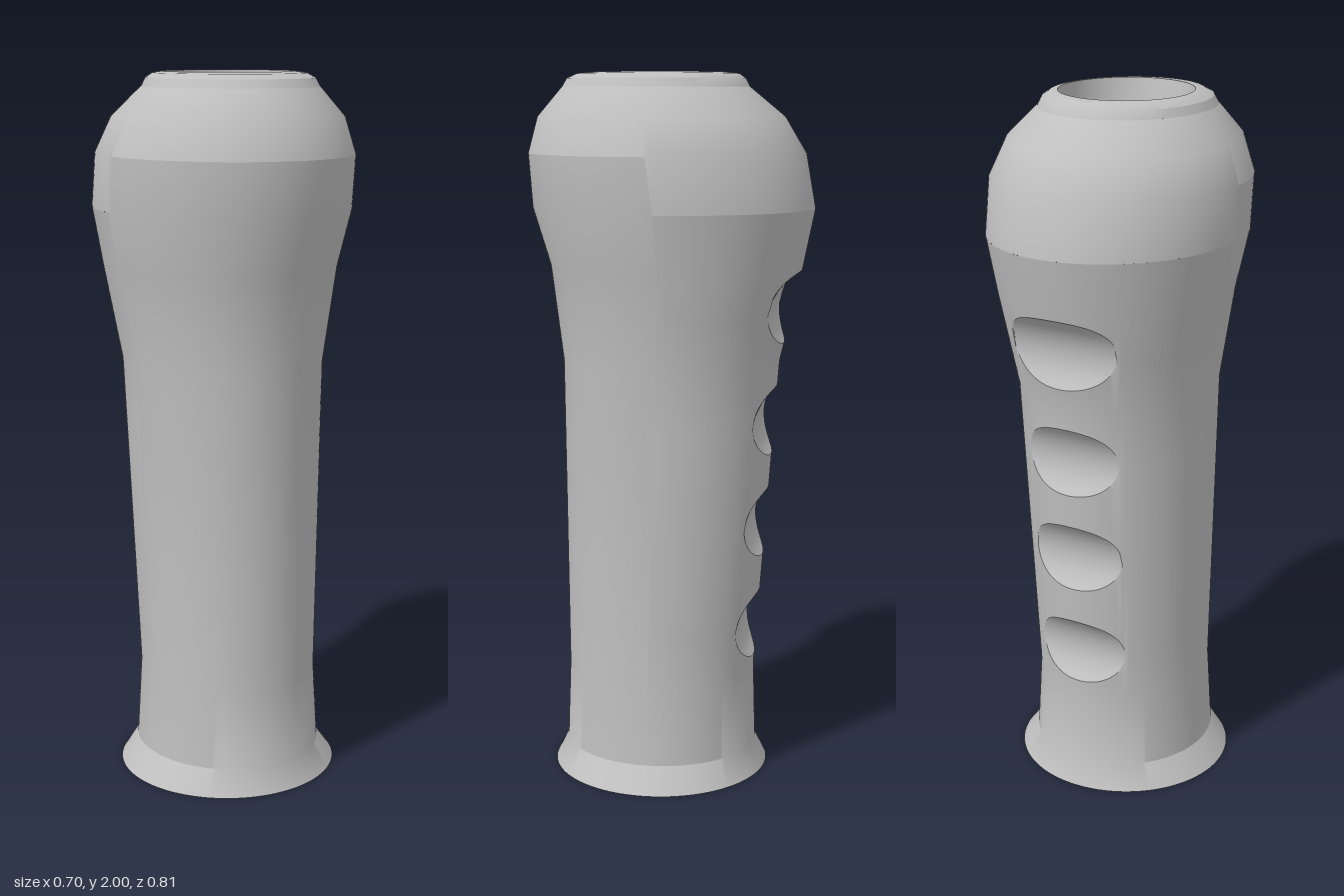
import * as THREE from 'three';
import { toCreasedNormals } from 'three/addons/utils/BufferGeometryUtils.js';

// Oval sections of the grip: height, half width, front z, back z
const PROFILE = [
  [0, 0.315, 0.345, -0.28], [0.07, 0.262, 0.31, -0.247], [0.3, 0.247, 0.302, -0.241],
  [1.2, 0.275, 0.31, -0.307], [1.47, 0.32, 0.343, -0.37], [1.63, 0.35, 0.392, -0.402],
  [1.78, 0.35, 0.403, -0.375], [1.88, 0.312, 0.376, -0.315], [1.96, 0.238, 0.308, -0.217],
];
// Finger grooves: height and z of the cutting cylinders' axes
const GROOVE_R = 0.134;
const GROOVES = [[0.425, -0.34], [0.73, -0.362], [1.027, -0.384], [1.338, -0.424]];

// Point on an oval section at angle t
function ovalPoint([y, a, f, b], t) {
  return new THREE.Vector3(a * Math.cos(t), y, (f + b) / 2 + (f - b) / 2 * Math.sin(t));
}

// Point on the plain grip surface at any height
function gripPoint(y, t) {
  let i = 0;
  while (i < PROFILE.length - 2 && y > PROFILE[i + 1][0]) i++;
  const k = (y - PROFILE[i][0]) / (PROFILE[i + 1][0] - PROFILE[i][0]);
  return ovalPoint(PROFILE[i].map((v, n) => THREE.MathUtils.lerp(v, PROFILE[i + 1][n], k)), t);
}

// Skin through rows of points; rows going up face outward, rows going down face inward
function loft(rows, t0 = 0, t1 = Math.PI * 2, cols = 96) {
  const grid = rows.map(row => Array.from({ length: cols + 1 }, (_, j) => row(t0 + (t1 - t0) * j / cols)));
  const pos = [];
  const tri = (a, b, c) => {
    const n = b.clone().sub(a).cross(c.clone().sub(a));
    if (n.length() > 1e-9) pos.push(...a, ...b, ...c);
  };
  for (let i = 0; i < grid.length - 1; i++) {
    for (let j = 0; j < cols; j++) {
      const a = grid[i][j], b = grid[i + 1][j], c = grid[i + 1][j + 1], d = grid[i][j + 1];
      tri(a, b, d);
      tri(b, c, d);
    }
  }
  const geo = new THREE.BufferGeometry();
  geo.setAttribute('position', new THREE.Float32BufferAttribute(pos, 3));
  return toCreasedNormals(geo, 0.5);
}

const ovalRow = s => t => ovalPoint(s, t);
const circleRow = (y, r, z) => ovalRow([y, r, z + r, z - r]);

// Rows of one finger groove, fitted between its upper and lower edge in every column
function grooveRows([yc, zc]) {
  const cut = y => zc + Math.sqrt(Math.max(0, GROOVE_R ** 2 - (y - yc) ** 2));
  const edge = (t, dir) => {
    if (gripPoint(yc, t).z > cut(yc)) return yc;
    let lo = 0, hi = GROOVE_R;
    for (let n = 0; n < 24; n++) {
      const mid = (lo + hi) / 2, y = yc + dir * mid;
      if (gripPoint(y, t).z < cut(y)) lo = mid; else hi = mid;
    }
    return yc + dir * lo;
  };
  const steps = 12;
  return Array.from({ length: steps + 1 }, (_, i) => t => {
    const y = THREE.MathUtils.lerp(edge(t, -1), edge(t, 1), i / steps);
    const p = gripPoint(y, t);
    p.z = Math.max(p.z, y > yc - GROOVE_R && y < yc + GROOVE_R ? cut(y) : p.z);
    if (gripPoint(yc, t).z > cut(yc)) p.z = gripPoint(y, t).z;
    return p;
  });
}

// Flat plate with a hole, facing down; points are (x, z)
function plateBelow(outer, hole, y) {
  const shape = new THREE.Shape(outer);
  shape.holes.push(new THREE.Path(hole));
  return new THREE.ShapeGeometry(shape).rotateX(Math.PI / 2).translate(0, y, 0);
}
const ring = (n, rx, rz, cz) => Array.from({ length: n }, (_, i) => {
  const t = i / n * Math.PI * 2;
  return new THREE.Vector2(rx * Math.cos(t), cz + rz * Math.sin(t));
});

export function createModel() {
  const group = new THREE.Group();
  const grey = new THREE.MeshStandardMaterial({ color: 0xbfbfbf });
  grey.name = 'grey';
  const add = (name, geo) => {
    const mesh = new THREE.Mesh(geo, grey);
    mesh.name = name;
    group.add(mesh);
  };
  const rows = PROFILE.map(ovalRow);
  const PI = Math.PI;

  // Grip: the front half runs higher than the grooved back half
  add('gripFront', loft(rows.slice(0, 7), 0, PI, 64));
  add('gripBack', loft([...rows.slice(0, 3), ...GROOVES.slice(0, 3).flatMap(grooveRows), rows[3],
    ...grooveRows(GROOVES[3]), ...rows.slice(4, 6)], PI, 2 * PI, 128));

  // Rounded head and its rim
  add('headFront', loft(rows.slice(6), 0, PI, 64));
  add('headBack', loft(rows.slice(5), PI, 2 * PI, 64));
  add('rim', loft([
    [1.96, 0.238, 0.308, -0.217], [1.983, 0.226, 0.294, -0.205],
    [1.996, 0.205, 0.268, -0.187], [2, 0.183, 0.225, -0.155],
  ].map(ovalRow)));

  // Stepped, slightly slanted bore from the top, then the straight through hole
  add('bore', loft([
    ovalRow([2, 0.183, 0.225, -0.155]), circleRow(1.85, 0.183, 0.01),
    circleRow(1.85, 0.122, 0.015), circleRow(1.72, 0.122, -0.015),
    circleRow(1.72, 0.061, 0.03), circleRow(0.25, 0.061, 0.03),
  ]));

  // Underside with the six-sided socket
  const hex = ring(6, 0.155, 0.155, 0.03);
  add('underside', plateBelow(ring(96, 0.315, 0.3125, 0.0325), hex, 0));
  add('socketWall', loft([circleRow(0.25, 0.155, 0.03), circleRow(0, 0.155, 0.03)], 0, 2 * PI, 6));
  add('socketCeiling', plateBelow(hex, ring(96, 0.061, 0.061, 0.03), 0.25));

  return group;
}
